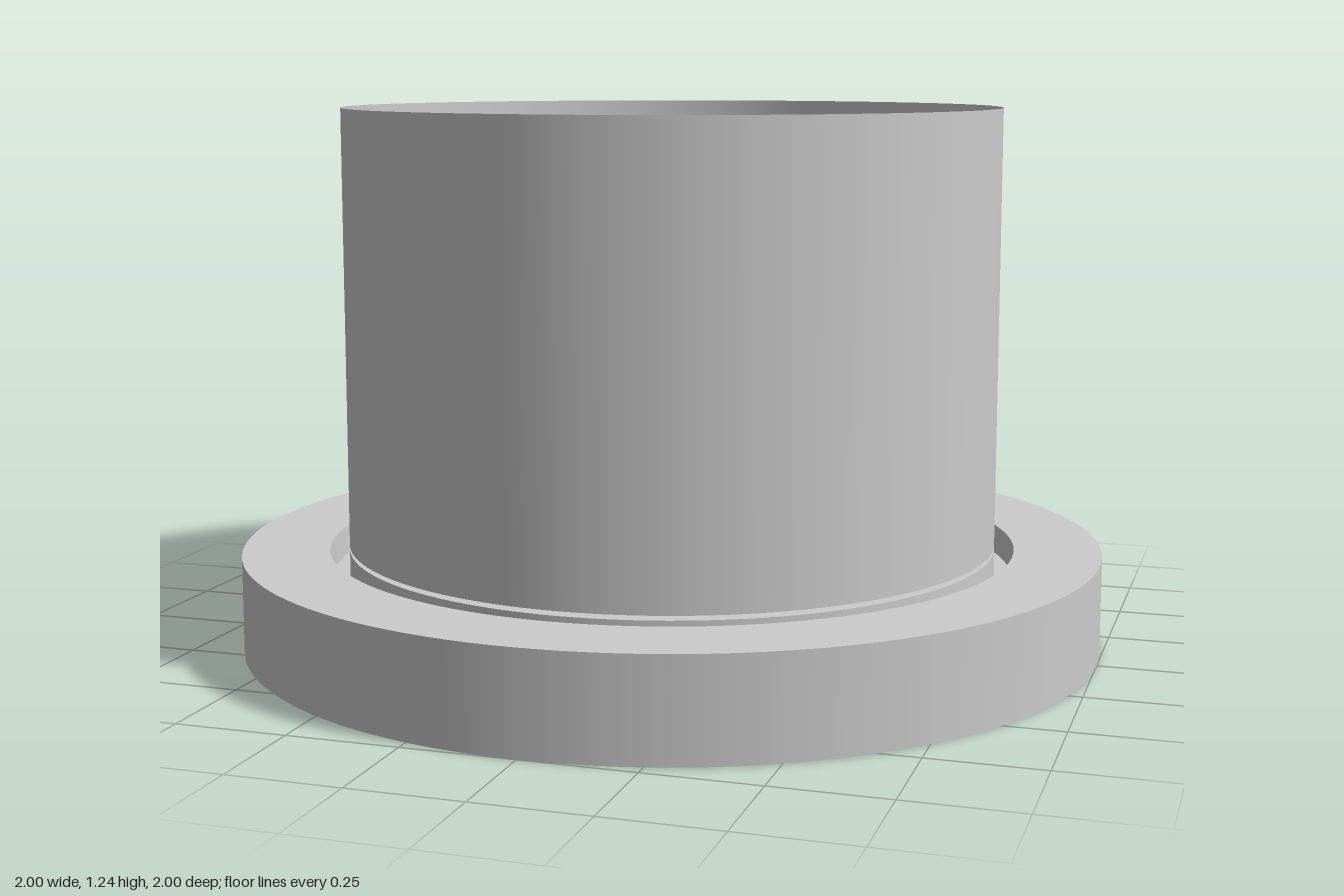
import * as THREE from 'three';

const SEGMENTS = 128;

// Lathe with hard corners: each profile segment gets its own band of normals
function turned(name, profile, material) {
  const group = new THREE.Group();
  group.name = name;
  for (let i = 0; i < profile.length - 1; i++) {
    const ends = [profile[i], profile[i + 1]].map(([r, y]) => new THREE.Vector2(r, y));
    const band = new THREE.Mesh(new THREE.LatheGeometry(ends, SEGMENTS), material);
    band.name = `${name}Surface${i + 1}`;
    group.add(band);
  }
  return group;
}

export function createModel() {
  const model = new THREE.Group();
  model.name = 'flangedTube';
  const grey = new THREE.MeshStandardMaterial({ color: 0xcccccc });
  const thinGrey = new THREE.MeshStandardMaterial({ color: 0xcccccc, side: THREE.DoubleSide });

  // Round base with a ring groove around a central plug
  const top = 0.225, grooveFloor = 0.16, plugRadius = 0.755;
  model.add(turned('base', [
    [0, 0], [1, 0], [1, top], [0.8, top],
    [0.795, grooveFloor], [plugRadius, grooveFloor],
    [plugRadius, top], [0, top],
  ], grey));

  // Thin open tube standing just clear of the plug
  const bottom = 0.235, height = 1.005;
  const tube = new THREE.Mesh(
    new THREE.CylinderGeometry(plugRadius, plugRadius, height, SEGMENTS, 1, true), thinGrey);
  tube.name = 'tube';
  tube.position.y = bottom + height / 2;
  model.add(tube);

  return model;
}
